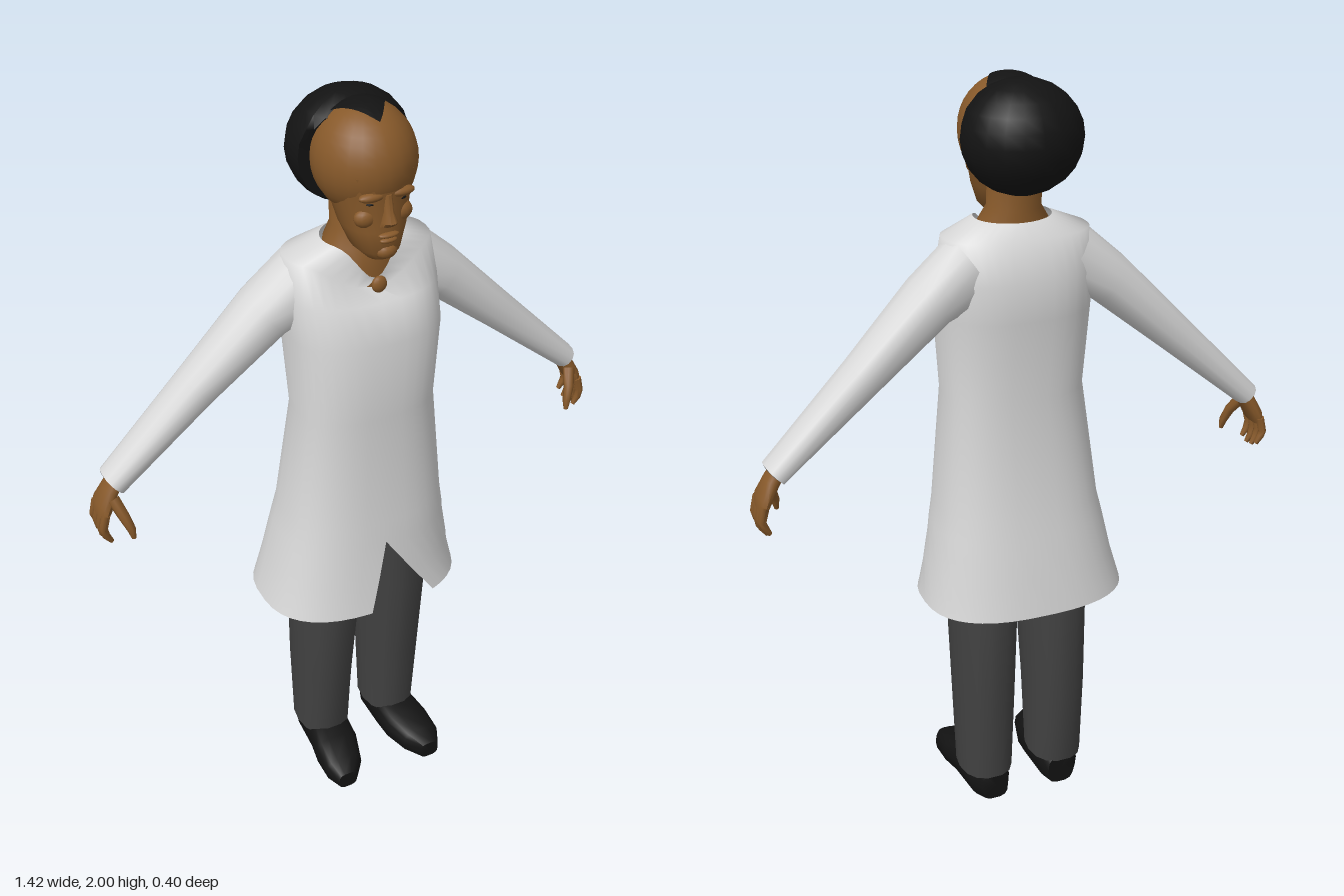
import * as THREE from 'three';
import { mergeVertices, toCreasedNormals } from 'three/addons/utils/BufferGeometryUtils.js';

const V = (x, y, z) => new THREE.Vector3(x, y, z);
const pow = (v, p) => Math.sign(v) * Math.abs(v) ** p;

// Skin a surface over rings of points that run counter-clockwise around the direction of travel
function loft(rings, crease = 0.9) {
  const pos = [];
  const tri = (a, b, c) => {
    const area = b.clone().sub(a).cross(c.clone().sub(a)).length();
    if (area > 1e-9) for (const p of [a, b, c]) pos.push(p.x, p.y, p.z);
  };
  for (let i = 0; i < rings.length - 1; i++) {
    const r = rings[i], q = rings[i + 1];
    for (let j = 0; j < r.length - 1; j++) {
      tri(r[j], r[j + 1], q[j]);
      tri(r[j + 1], q[j + 1], q[j]);
    }
  }
  const g = new THREE.BufferGeometry();
  g.setAttribute('position', new THREE.Float32BufferAttribute(pos, 3));
  return toCreasedNormals(mergeVertices(g, 1e-5), crease);
}

// Solid limb along stations [x, y, z, radiusU, radiusV]; dir fixes the section plane
function limb(path, { sides = 14, p = 1, ref = V(0, 0, 1), dir = null, caps = true, crease = 0.9 } = {}) {
  const c = path.map(s => V(s[0], s[1], s[2]));
  const rings = path.map((s, i) => {
    const t = dir ? dir.clone() : c[Math.min(i + 1, c.length - 1)].clone().sub(c[Math.max(i - 1, 0)]).normalize();
    const v = ref.clone().addScaledVector(t, -ref.dot(t)).normalize();
    const u = v.clone().cross(t);
    return Array.from({ length: sides + 1 }, (_, j) => {
      const a = (j % sides) / sides * Math.PI * 2;
      return c[i].clone().addScaledVector(u, pow(Math.cos(a), p) * s[3]).addScaledVector(v, pow(Math.sin(a), p) * s[4]);
    });
  });
  if (caps) {
    const dot = q => Array(sides + 1).fill(q);
    rings.unshift(dot(c[0]));
    rings.push(dot(c[c.length - 1]));
  }
  return loft(rings, crease);
}

// Mirrored copy across x with the winding turned back
function mirrorX(geo) {
  const g = geo.index ? geo.toNonIndexed() : geo.clone();
  g.scale(-1, 1, 1);
  for (const attr of Object.values(g.attributes)) {
    const n = attr.itemSize, a = attr.array;
    for (let k = 0; k < a.length; k += 3 * n)
      for (let m = 0; m < n; m++) [a[k + n + m], a[k + 2 * n + m]] = [a[k + 2 * n + m], a[k + n + m]];
  }
  return g;
}

const blob = (x, y, z, rx, ry, rz) => new THREE.SphereGeometry(1, 14, 10).scale(rx, ry, rz).translate(x, y, z);

export function createModel() {
  const model = new THREE.Group();
  model.name = 'standingMan';
  const mat = (name, color, side = THREE.FrontSide) => {
    const m = new THREE.MeshStandardMaterial({ color, side });
    m.name = name;
    return m;
  };
  const white = mat('coatWhite', 0xd8d8d8, THREE.DoubleSide);
  const skin = mat('skinBrown', 0x87592a);
  const grey = mat('trouserGrey', 0x424242);
  const black = mat('black', 0x131313);
  const add = (name, geo, m) => {
    const mesh = new THREE.Mesh(geo, m);
    mesh.name = name;
    model.add(mesh);
  };
  const pair = (name, geo, m) => {
    add(name + 'Left', geo, m);
    add(name + 'Right', mirrorX(geo), m);
  };
  const up = V(0, 1, 0);

  // Coat: [y, centreX, centreZ, rx, rz, slit angle on +x, slit angle on -x]
  const coat = [
    [0.62, -0.015, 0, 0.275, 0.2, 0.48, 0.09],
    [0.72, -0.01, 0, 0.25, 0.187, 0.22, 0.04],
    [0.83, -0.007, 0.006, 0.23, 0.172, 0, 0],
    [0.89, -0.004, 0.008, 0.218, 0.165, 0, 0],
    [1.2, 0, 0.02, 0.185, 0.132, 0, 0],
    [1.42, 0, 0.015, 0.198, 0.153, 0, 0],
    [1.52, 0, -0.004, 0.2, 0.136, 0, 0],
    [1.62, 0, -0.01, 0.19, 0.1, 0, 0],
    [1.655, 0, 0.01, 0.1, 0.085, 0, 0],
  ];
  const N = 36;
  add('coat', loft(coat.map(([y, cx, cz, rx, rz, g1, g2], i) =>
    Array.from({ length: N + 1 }, (_, j) => {
      const a = g1 + (Math.PI * 2 - g1 - g2) * j / N;
      const p = i === coat.length - 1 ? 1 : 0.78;
      // V neckline and lowered front yoke
      const front = Math.max(0, Math.cos(a)) ** 6;
      const drop = i === coat.length - 1 ? 0.085 * front : i === coat.length - 2 ? 0.075 * front : 0;
      return V(cx + rx * pow(Math.sin(a), p), y - drop, cz + rz * pow(Math.cos(a), p));
    })), 1.2), white);

  // Sleeves with dark cuff openings
  pair('sleeve', limb([
    [0.13, 1.545, -0.03, 0.09, 0.08], [0.24, 1.475, -0.035, 0.068, 0.08],
    [0.42, 1.31, -0.045, 0.052, 0.062], [0.655, 1.095, -0.05, 0.033, 0.05],
  ], { p: 0.85, caps: false }), white);
  pair('cuffLining', limb([[0.643, 1.107, -0.05, 0.031, 0.047], [0.655, 1.095, -0.05, 0.031, 0.048]], { p: 0.85 }), grey);

  // Hands
  pair('palm', limb([
    [0.635, 1.115, -0.05, 0.02, 0.03], [0.662, 1.075, -0.05, 0.02, 0.034],
    [0.684, 1.035, -0.05, 0.019, 0.046], [0.692, 1.01, -0.05, 0.013, 0.044],
  ], { sides: 12, p: 0.85 }), skin);
  for (let f = 0; f < 4; f++) {
    const z = -0.087 + f * 0.025, d = [0.016, 0.004, 0, 0.008][f];
    pair('finger' + (f + 1), limb([
      [0.69, 1.025, z, 0.012, 0.011], [0.7, 0.985, z, 0.011, 0.011],
      [0.695, 0.955 + d, z, 0.01, 0.01], [0.682, 0.934 + d, z, 0.006, 0.006],
    ], { sides: 8 }), skin);
  }
  pair('thumb', limb([
    [0.665, 1.06, -0.02, 0.016, 0.016], [0.65, 1.02, 0.008, 0.014, 0.013],
    [0.638, 0.985, 0.02, 0.011, 0.011], [0.635, 0.96, 0.024, 0.006, 0.006],
  ], { sides: 8 }), skin);

  // Trousers and shoes
  pair('trouserLeg', limb([
    [0.105, 0.08, -0.032, 0.073, 0.088], [0.104, 0.32, -0.028, 0.078, 0.112],
    [0.1, 0.6, -0.015, 0.085, 0.134], [0.095, 0.86, 0, 0.09, 0.13],
  ], { p: 0.85, dir: up }), grey);
  pair('shoe', limb([
    [0.1, 0.042, -0.108, 0.038, 0.042], [0.104, 0.05, -0.08, 0.056, 0.05],
    [0.107, 0.052, 0.03, 0.062, 0.052], [0.114, 0.045, 0.09, 0.066, 0.045],
    [0.125, 0.037, 0.16, 0.055, 0.037], [0.132, 0.025, 0.2, 0.028, 0.025],
  ], { p: 0.65, ref: up, dir: V(0, 0, 1) }), black);

  // Neck, jaw and skull
  add('neck', limb([
    [0, 1.5, 0.01, 0.12, 0.08], [0, 1.59, 0.012, 0.1, 0.082], [0, 1.645, 0.005, 0.09, 0.078],
    [0, 1.68, 0, 0.068, 0.07], [0, 1.8, -0.01, 0.068, 0.07],
  ], { sides: 20, dir: up }), skin);
  add('jaw', limb([
    [0, 1.642, 0.1, 0.032, 0.04], [0, 1.665, 0.085, 0.056, 0.073], [0, 1.72, 0.07, 0.078, 0.088],
    [0, 1.78, 0.055, 0.092, 0.1], [0, 1.86, 0.035, 0.118, 0.127],
  ], { sides: 20, p: 0.92, dir: up }), skin);
  const [sx, sy, sz] = [0.125, 0.135, 0.135];
  add('skull', new THREE.SphereGeometry(1, 24, 18).scale(sx, sy, sz).translate(0, 1.86, 0.03), skin);

  // Facial features
  pair('brow', blob(0.038, 1.812, 0.145, 0.034, 0.012, 0.016), skin);
  pair('eye', blob(0.036, 1.794, 0.1425, 0.016, 0.004, 0.008), black);
  pair('cheek', blob(0.045, 1.755, 0.128, 0.03, 0.025, 0.022), skin);
  add('nose', limb([
    [0, 1.737, 0.155, 0.022, 0.012], [0, 1.75, 0.16, 0.02, 0.022],
    [0, 1.775, 0.155, 0.011, 0.016], [0, 1.815, 0.15, 0.01, 0.012],
  ], { sides: 10, dir: up }), skin);
  add('upperLip', blob(0, 1.714, 0.157, 0.027, 0.007, 0.012), skin);
  add('lowerLip', blob(0, 1.7, 0.156, 0.023, 0.007, 0.011), skin);
  add('chin', blob(0, 1.668, 0.145, 0.028, 0.02, 0.02), skin);

  // Rounded hair cut off flat behind the face
  const hair = new THREE.SphereGeometry(1, 20, 12).scale(0.153, 0.14, 0.142).translate(0, 1.86, -0.05);
  const hp = hair.attributes.position;
  for (let i = 0; i < hp.count; i++) {
    const edge = -0.018 + 0.05 * THREE.MathUtils.smoothstep(hp.getY(i), 1.9, 2);
    hp.setZ(i, Math.min(hp.getZ(i), edge));
  }
  hair.deleteAttribute('uv');
  hair.deleteAttribute('normal');
  add('hair', toCreasedNormals(mergeVertices(hair, 1e-5), 0.9), black);

  // Pointed hairline lying on the skull
  add('hairPeak', loft(Array.from({ length: 11 }, (_, i) => {
    const z = -0.03 + 0.14 * i / 10, w = 0.085 * (1 - i / 10) ** 0.8;
    return Array.from({ length: 13 }, (_, j) => {
      const x = w * (1 - j / 6);
      const h = Math.sqrt(Math.max(0, 1 - (x / sx) ** 2 - ((z - 0.03) / sz) ** 2));
      return V(x, 1.86 + sy * h + 0.004, z);
    });
  })), black);

  // Round pendant at the neckline
  add('pendant', blob(0, 1.562, 0.113, 0.02, 0.022, 0.012), skin);
  return model;
}
